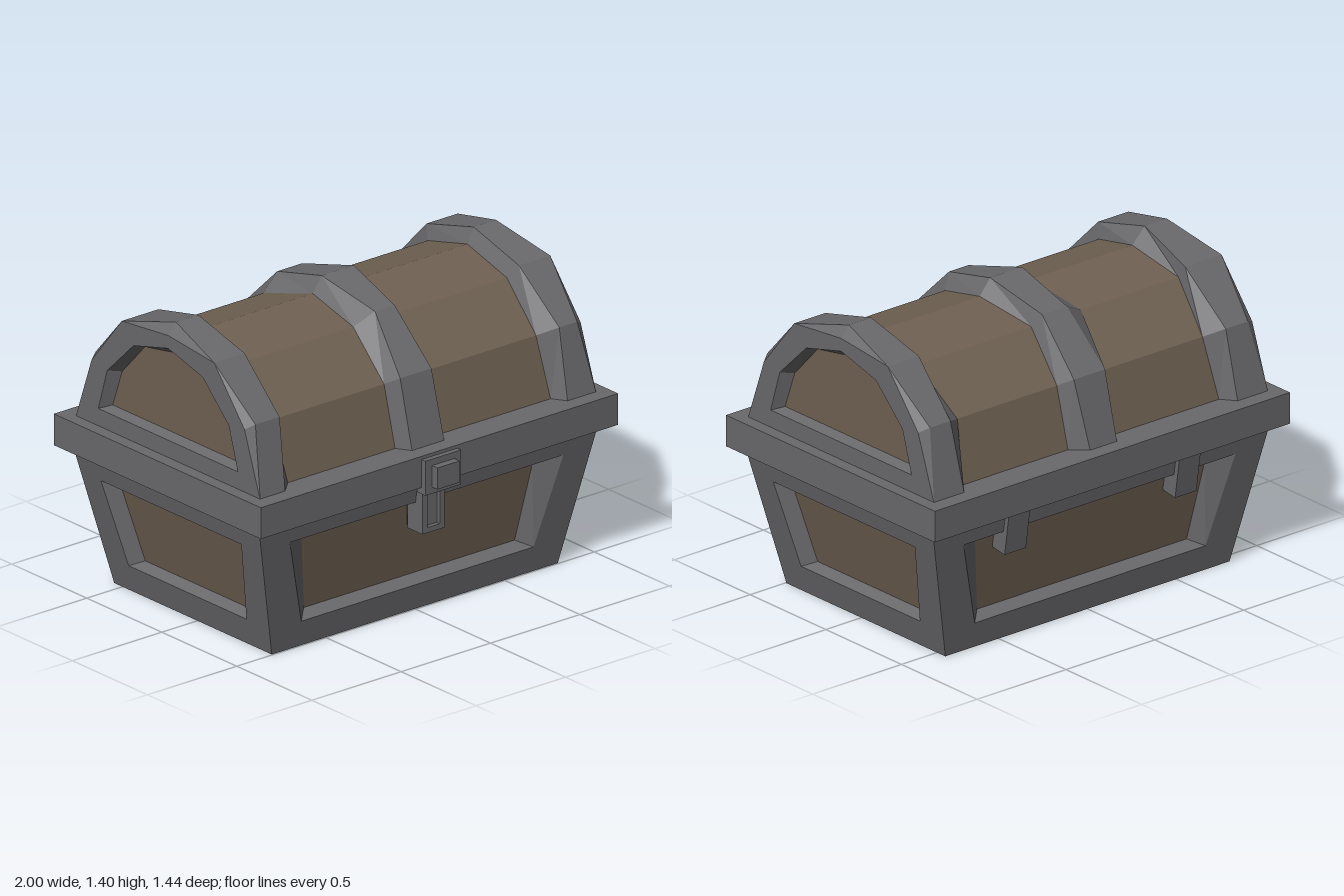
import * as THREE from 'three';

const iron = new THREE.MeshStandardMaterial({ color: 0x69686b, flatShading: true });
iron.name = 'iron';
const wood = new THREE.MeshStandardMaterial({ color: 0x6f6152, flatShading: true });
wood.name = 'wood';

// Half profile (right side, bottom to top) mirrored into a counter-clockwise outline
const mirror = (half) => [
  ...half,
  ...half.filter((p) => p[0] > 0).reverse().map(([u, y]) => [-u, y]),
];

function mesh(name, geometry, material) {
  const m = new THREE.Mesh(geometry, material);
  m.name = name;
  return m;
}

function fromTriangles(points) {
  const g = new THREE.BufferGeometry().setFromPoints(points);
  g.computeVertexNormals();
  return g;
}

const quad = (a, b, c, d) => [a, b, c, a, c, d];

// Quads between two closed loops, outer to inner
const ring = (a, b) => a.flatMap((p, i) => {
  const j = (i + 1) % a.length;
  return quad(p, a[j], b[j], b[i]);
});

const fan = (loop) => loop.slice(2).flatMap((p, i) => [loop[0], loop[i + 1], p]);

function box(name, x, y0, y1, z0, z1, width) {
  const m = mesh(name, new THREE.BoxGeometry(width, y1 - y0, z1 - z0), iron);
  m.position.set(x, (y0 + y1) / 2, (z0 + z1) / 2);
  return m;
}

// Iron frame with a bevelled recess and a wooden panel, on a wall leaning by slope
function framedWall(name, turn, base, slope, depth, outer, hole, inner) {
  const place = (half, d) =>
    mirror(half).map(([u, y]) => new THREE.Vector3(u, y, base + slope * y - d));
  const [o, h, n] = [place(outer, 0), place(hole, 0), place(inner, depth)];
  const wall = new THREE.Group();
  wall.name = name;
  wall.add(mesh(name + 'Frame', fromTriangles([...ring(o, h), ...ring(h, n)]), iron));
  wall.add(mesh(name + 'Panel', fromTriangles(fan(n)), wood));
  wall.rotation.y = turn;
  return wall;
}

// Arched skin over lanes ordered by x; a lane is a profile and its x at each profile point
function arch(name, material, lanes) {
  const rows = lanes.map(([half, xs]) =>
    mirror(half).map(([z, y], i) => new THREE.Vector3(Array.isArray(xs) ? xs[i] : xs, y, z)));
  const tris = [];
  for (let l = 0; l < rows.length - 1; l++) {
    for (let i = 0; i < rows[l].length - 1; i++) {
      tris.push(...quad(rows[l][i], rows[l + 1][i], rows[l + 1][i + 1], rows[l][i + 1]));
    }
  }
  return mesh(name, fromTriangles(tris), material);
}

export function createModel() {
  const model = new THREE.Group();
  model.name = 'treasureChest';
  const chest = new THREE.Group();
  chest.name = 'chest';
  chest.position.z = -0.03;
  model.add(chest);

  // Flared body
  const H = 0.66, sx = 0.234, sz = 0.148;
  for (const [name, turn] of [['frontWall', 0], ['backWall', Math.PI]]) {
    chest.add(framedWall(name, turn, 0.525, sz, 0.06,
      [[0.8, 0], [0.8 + sx * H, H]],
      [[0.65, 0.12], [0.765, 0.535]],
      [[0.59, 0.15], [0.645, 0.5]]));
  }
  for (const [name, turn] of [['leftWall', Math.PI / 2], ['rightWall', -Math.PI / 2]]) {
    chest.add(framedWall(name, turn, 0.8, sx, 0.06,
      [[0.525, 0], [0.525 + sz * H, H]],
      [[0.393, 0.13], [0.468, 0.525]],
      [[0.347, 0.152], [0.413, 0.503]]));
  }
  const floor = mesh('floor', new THREE.PlaneGeometry(1.6, 1.05), iron);
  floor.rotation.x = Math.PI / 2;
  chest.add(floor);

  // Rim between body and lid
  chest.add(box('rim', 0, 0.64, 0.785, -0.69, 0.69, 2));

  // Lid: wooden vault, iron bands with uneven hammered edges, framed ends
  const vault = [[0.55, 0.78], [0.475, 1.06], [0.27, 1.26], [0, 1.33]];
  const crest = [[0.615, 0.78], [0.535, 1.095], [0.308, 1.32], [0, 1.4]];
  const end = [[0.615, 0.78], [0.51, 1.075], [0.308, 1.32], [0, 1.35]];
  const outerEdge = [0.94, 0.9, 0.94, 0.895, 0.94, 0.895, 0.94];
  const negative = (xs) => xs.map((x) => -x);

  chest.add(arch('lidVault', wood, [[vault, -0.88], [vault, 0.88]]));
  chest.add(arch('rightBand', iron, [
    [end, -0.94],
    [crest, negative(outerEdge)],
    [crest, [-0.8, -0.765, -0.77, -0.77, -0.735, -0.77, -0.77]],
    [vault, [-0.73, -0.755, -0.74, -0.7, -0.73, -0.69, -0.72]],
  ]));
  chest.add(arch('middleBand', iron, [
    [vault, [-0.13, -0.13, -0.13, -0.13, -0.18, -0.12, -0.13]],
    [crest, [-0.09, -0.09, -0.04, -0.08, -0.07, -0.09, -0.09]],
    [crest, [0.09, 0.085, 0.07, 0.1, 0.07, 0.085, 0.06]],
    [vault, [0.13, 0.1, 0.125, 0.16, 0.1, 0.13, 0.13]],
  ]));
  chest.add(arch('leftBand', iron, [
    [vault, [0.74, 0.72, 0.73, 0.735, 0.74, 0.69, 0.72]],
    [crest, [0.78, 0.8, 0.765, 0.77, 0.765, 0.78, 0.77]],
    [crest, outerEdge],
    [end, 0.94],
  ]));
  for (const [name, turn] of [['leftLidEnd', Math.PI / 2], ['rightLidEnd', -Math.PI / 2]]) {
    chest.add(framedWall(name, turn, 0.94, 0, 0.05, end,
      [[0.465, 0.865], [0.405, 1.06], [0.23, 1.23], [0, 1.29]],
      [[0.428, 0.88], [0.365, 1.055], [0.213, 1.217], [0, 1.255]]));
  }

  // Latch: plate, raised boss and slotted tongue
  const latch = new THREE.Group();
  latch.name = 'latch';
  latch.add(box('latchPlate', 0, 0.61, 0.77, 0.66, 0.715, 0.2));
  latch.add(box('latchBoss', 0, 0.64, 0.74, 0.7, 0.75, 0.124));
  latch.add(box('latchTongueBack', 0, 0.41, 0.63, 0.54, 0.63, 0.11));
  const rect = (type, w, y0, y1) => new type(
    [[-w, y0], [w, y0], [w, y1], [-w, y1]].map(([x, y]) => new THREE.Vector2(x, y)));
  const tongue = rect(THREE.Shape, 0.062, 0.4, 0.64);
  tongue.holes.push(rect(THREE.Path, 0.035, 0.425, 0.58));
  const tongueFrame = mesh('latchTongue',
    new THREE.ExtrudeGeometry(tongue, { depth: 0.1, bevelEnabled: false }), iron);
  tongueFrame.position.z = 0.55;
  latch.add(tongueFrame);
  chest.add(latch);

  // Hinge straps following the slope of the back wall
  for (const side of [-1, 1]) {
    const hinge = mesh(side > 0 ? 'leftHinge' : 'rightHinge',
      new THREE.BoxGeometry(0.12, 0.22, 0.1), iron);
    hinge.position.set(side * 0.48, 0.545, -0.578);
    hinge.rotation.x = -Math.atan(sz);
    chest.add(hinge);
  }
  return model;
}
